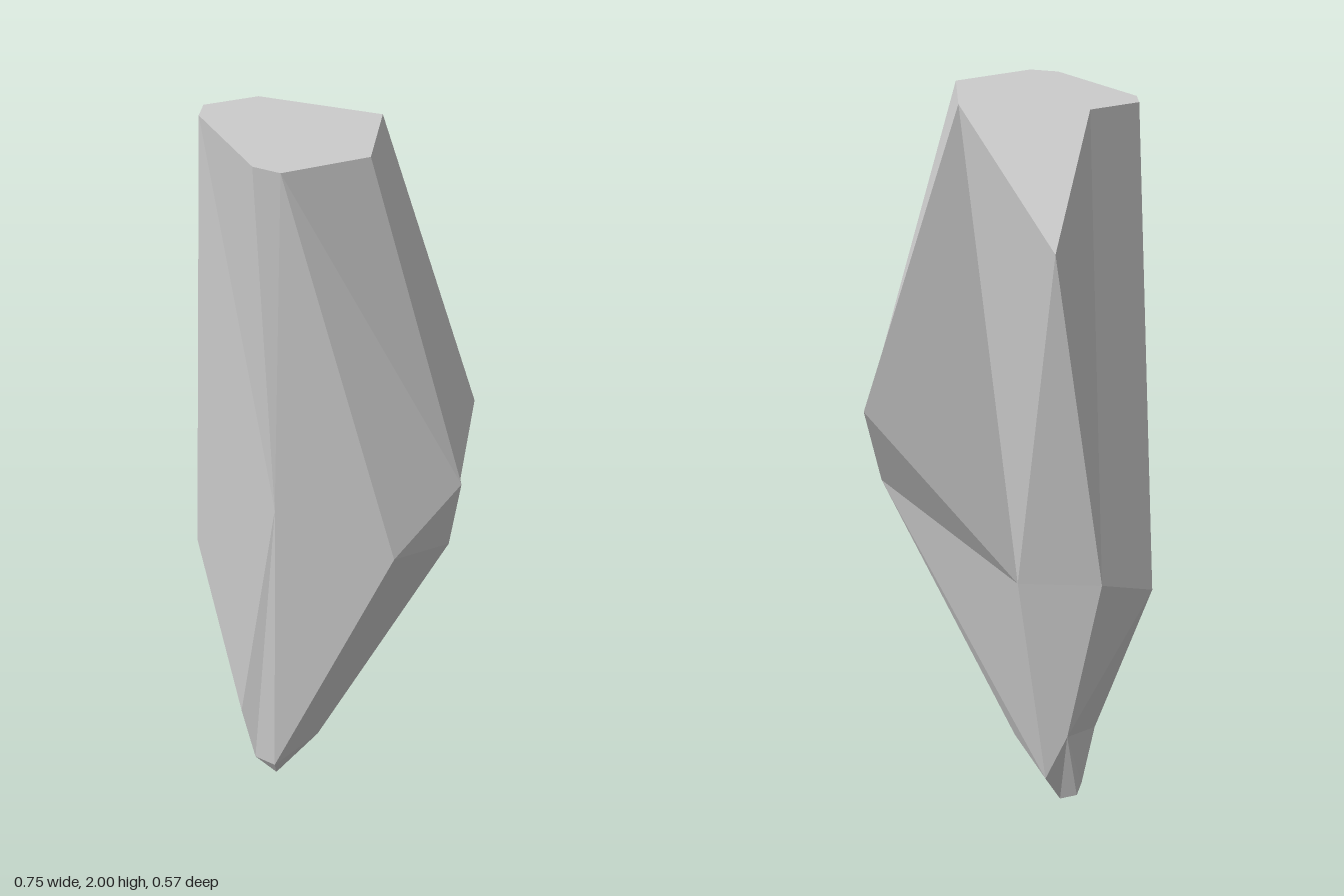
import * as THREE from 'three';

// Corner points of the shard, grouped by region
const P = {
  // flat top outline
  a1: [-0.315, 2, -0.08], a2: [-0.315, 2, -0.015], a3: [-0.14, 2, 0.26], a4: [-0.07, 2, 0.287],
  r1: [0.125, 2, 0.17], r0: [0.125, 2, -0.08], a7: [-0.19, 2, -0.15],
  // bulging side at +x
  t0: [0.373, 1.21, -0.095], t1: [0.365, 1.13, 0.19], t2: [0.335, 0.92, 0.147], s: [0.205, 0.93, 0.253],
  // front crease, side point at -x, back ridge and back hollow
  f: [-0.113, 1, 0.172], l: [-0.375, 0.7, -0.11], k: [-0.1, 1.68, -0.287],
  n: [-0.235, 0.75, -0.185], p: [-0.02, 0.72, -0.1],
  // narrow tip
  b: [-0.24, 0.22, 0.02], q1: [-0.02, 0.185, 0.05], q2: [-0.1, 0.1, -0.05], q3: [-0.156, 0.25, -0.088],
  v1: [-0.14, 0.075, 0.07], v2: [-0.205, 0.05, 0.01], v3: [-0.19, 0.025, -0.015], d: [-0.145, 0, 0.01],
};

// Each facet is a loop of corners, filled as a fan from its first corner
const FACETS = {
  top: ['a1 a7 r0 r1 a4 a3 a2'],
  side: ['r0 r1 t1 t2 t0', 't1 t2 s', 't2 t0 p q2 q1'],
  front: ['a4 r1 t1 s', 'a4 s f', 's v1 f', 's t2 q1 v1', 'a2 f a3', 'a3 f a4', 'a2 l f', 'l b f', 'f b v2 v1'],
  back: ['r0 t0 p', 'r0 p k', 'r0 k a7', 'k p n', 'k n a7', 'a7 n l a1', 'a1 l a2', 'n p q3', 'p q2 q3', 'n q3 l', 'l q3 b'],
  tip: ['b q3 v2', 'q3 v3 v2', 'q3 q2 d v3', 'v1 q1 d', 'q1 q2 d', 'v1 v2 d', 'v2 v3 d'],
};

// Point on the slanted core of the shard, used to turn facets outward
function corePoint(y) {
  const h = THREE.MathUtils.clamp(y, 0.2, 1.6);
  const t = (h - 0.2) / 1.4;
  return new THREE.Vector3(-0.14 + 0.1 * t, h, 0.04 * t);
}

function shardGeometry() {
  const positions = [];
  const tri = new THREE.Triangle();
  const normal = new THREE.Vector3();
  const centre = new THREE.Vector3();
  for (const loop of Object.values(FACETS).flat()) {
    const c = loop.split(' ').map((name) => new THREE.Vector3(...P[name]));
    for (let i = 1; i < c.length - 1; i++) {
      tri.set(c[0], c[i], c[i + 1]);
      tri.getNormal(normal);
      tri.getMidpoint(centre);
      const outward = normal.dot(centre.clone().sub(corePoint(centre.y))) > 0;
      const order = outward ? [tri.a, tri.b, tri.c] : [tri.a, tri.c, tri.b];
      for (const v of order) positions.push(v.x, v.y, v.z);
    }
  }
  const geometry = new THREE.BufferGeometry();
  geometry.setAttribute('position', new THREE.Float32BufferAttribute(positions, 3));
  geometry.computeVertexNormals();
  return geometry;
}

export function createModel() {
  const group = new THREE.Group();
  group.name = 'rockShard';
  const rock = new THREE.Mesh(
    shardGeometry(),
    new THREE.MeshStandardMaterial({ color: 0xcccccc, flatShading: true }),
  );
  rock.name = 'rock';
  group.add(rock);
  return group;
}
